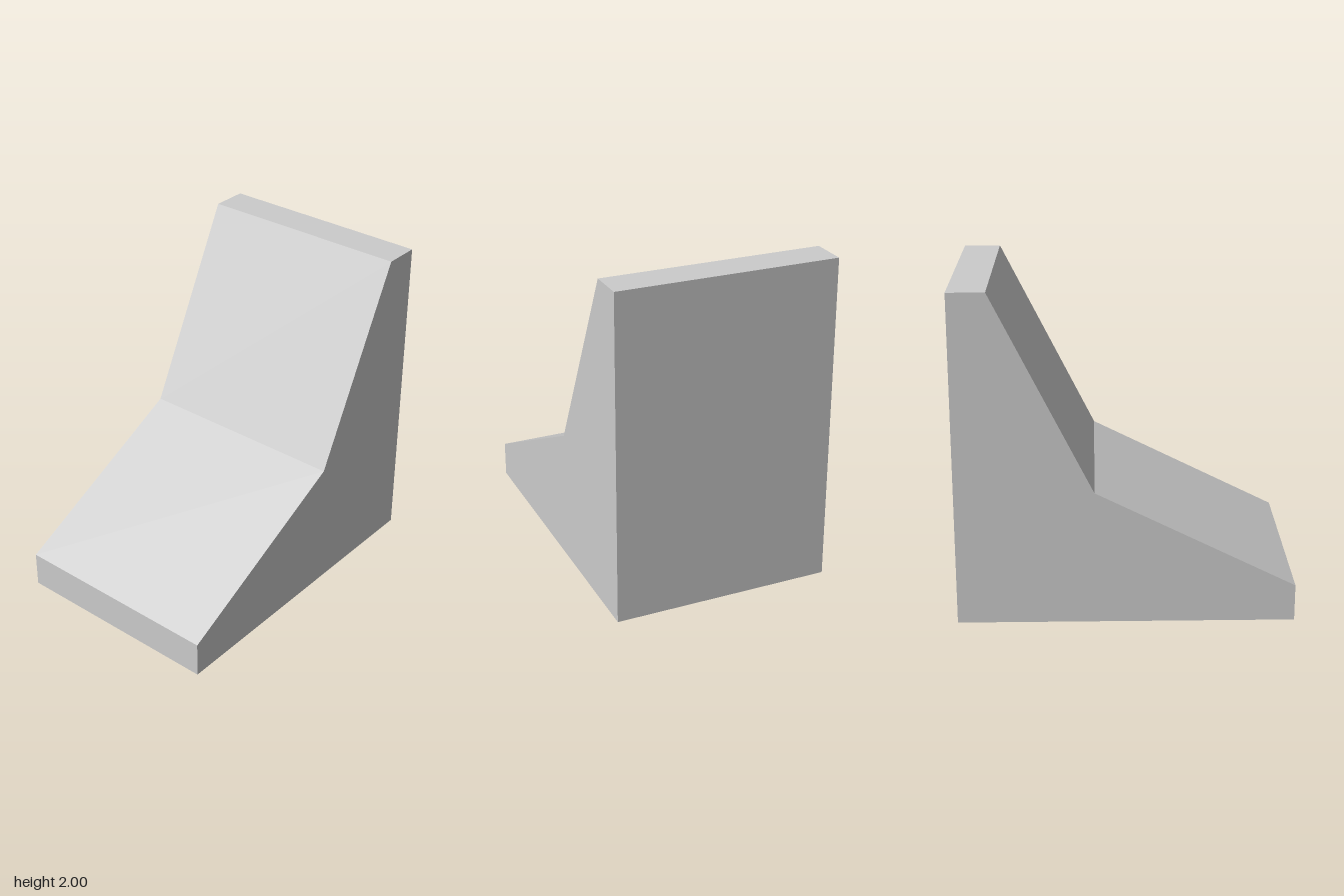
import * as THREE from 'three';

export function createModel() {
  const group = new THREE.Group();
  const width = 1.333;

  // Side profile as (z, y): base, front lip, gentle slope, steep slope, top ledge
  const profile = new THREE.Shape(
    [[-1, 0], [1, 0], [1, 0.222], [-0.185, 0.815], [-0.778, 2], [-1, 2]]
      .map(([z, y]) => new THREE.Vector2(z, y))
  );

  // Extrude across the width, then turn the profile to run along z
  const geometry = new THREE.ExtrudeGeometry(profile, { depth: width, bevelEnabled: false });
  geometry.translate(0, 0, -width / 2);
  geometry.rotateY(-Math.PI / 2);

  const wedge = new THREE.Mesh(
    geometry,
    new THREE.MeshStandardMaterial({ color: 0xcccccc, flatShading: true })
  );
  wedge.name = 'slopedBlock';
  group.add(wedge);
  return group;
}
